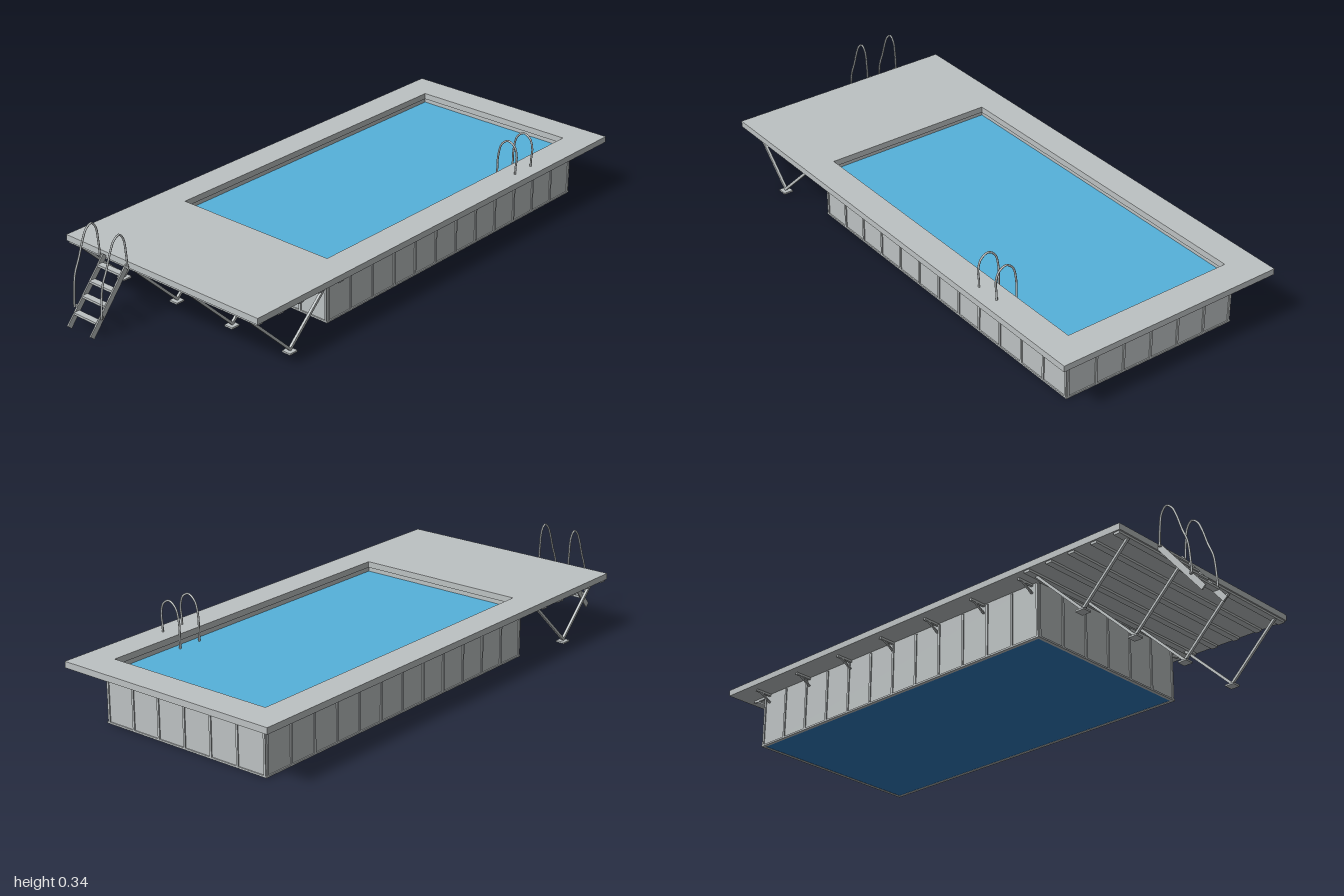
import * as THREE from 'three';

export function createModel() {
  const model = new THREE.Group();
  model.name = 'raisedPool';
  const grey = new THREE.MeshStandardMaterial({ color: 0xbdc2c3 });
  grey.name = 'steelGrey';
  const blue = new THREE.MeshStandardMaterial({ color: 0x56b2db });
  blue.name = 'waterBlue';
  const deepBlue = new THREE.MeshStandardMaterial({ color: 0x307abe });
  deepBlue.name = 'floorBlue';

  const add = (name, geometry, material = grey, parent = model) => {
    const mesh = new THREE.Mesh(geometry, material);
    mesh.name = name;
    parent.add(mesh);
    return mesh;
  };
  const box = (name, w, h, d, x, y, z, material = grey, parent = model) => {
    const mesh = add(name, new THREE.BoxGeometry(w, h, d), material, parent);
    mesh.position.set(x, y, z);
    return mesh;
  };
  // Square bar between two points, w across and t deep
  const bar = (name, a, b, w, t = w, parent = model) => {
    const p = new THREE.Vector3(...a), q = new THREE.Vector3(...b);
    const mesh = add(name, new THREE.BoxGeometry(w, t, p.distanceTo(q)), grey, parent);
    mesh.position.copy(p).lerp(q, 0.5);
    mesh.lookAt(q);
    return mesh;
  };
  const tube = (name, points, radius, parent = model) => {
    const curve = new THREE.CatmullRomCurve3(points.map(p => new THREE.Vector3(...p)));
    return add(name, new THREE.TubeGeometry(curve, 40, radius, 8), grey, parent);
  };
  const rectangle = (path, x0, y0, x1, y1) => {
    path.moveTo(x0, y0); path.lineTo(x1, y0); path.lineTo(x1, y1); path.lineTo(x0, y1);
    path.closePath();
    return path;
  };

  // Deck with the pool opening
  const shape = rectangle(new THREE.Shape(), -0.428, -0.825, 0.428, 1);
  shape.holes.push(rectangle(new THREE.Path(), -0.32, -0.392, 0.32, 0.887));
  const deck = new THREE.ExtrudeGeometry(shape, { depth: 0.022, bevelEnabled: false });
  deck.rotateX(-Math.PI / 2).translate(0, 0.195, 0);
  add('deck', deck);

  // Basin walls, water and floor
  const X = 0.337, Z0 = -0.907, Z1 = 0.412, ZC = (Z0 + Z1) / 2, L = Z1 - Z0, H = 0.195;
  for (const s of [-1, 1]) {
    box('sideWall', 0.008, H, L, s * (X - 0.004), H / 2, ZC);
    box('endWall', X * 2 - 0.016, H, 0.008, 0, H / 2, ZC + s * (L / 2 - 0.004));
    box('sideFlange', 0.008, 0.006, L + 0.008, s * X, 0.003, ZC);
    box('endFlange', X * 2, 0.006, 0.008, 0, 0.003, ZC + s * L / 2);
  }
  box('water', X * 2 - 0.016, 0.17, L - 0.016, 0, 0.091, ZC, blue);
  box('poolFloor', X * 2 - 0.016, 0.005, L - 0.016, 0, 0.0035, ZC, deepBlue);

  // Wall ribs
  for (const s of [-1, 1]) {
    for (let i = 0; i <= 12; i++)
      box('sideRib', 0.006, 0.19, 0.008, s * (X + 0.001), 0.095, Z0 + 0.004 + i * (L - 0.008) / 12);
    for (let i = 0; i <= 6; i++)
      box('endRib', 0.008, 0.19, 0.006, -X + 0.004 + i * (2 * X - 0.008) / 6, 0.095, ZC + s * (L / 2 + 0.001));
  }

  // Diagonal brackets under the deck overhang
  for (let i = 0; i < 7; i++) {
    const z = 0.385 - i * 0.211;
    for (const s of [-1, 1]) {
      bar('sideBracket', [s * X, 0.163, z], [s * 0.385, 0.191, z], 0.007, 0.005);
      bar('sideBracketArm', [s * X, 0.191, z], [s * 0.4, 0.191, z], 0.008);
    }
  }
  for (const x of [-0.333, -0.111, 0.111, 0.333]) {
    bar('backBracket', [x, 0.163, Z0], [x, 0.191, -0.957], 0.007, 0.005);
    bar('backBracketArm', [x, 0.191, Z0], [x, 0.191, -0.97], 0.008);
  }

  // Joists below the front platform
  for (const z of [0.44, 0.532, 0.624, 0.716, 0.808])
    box('joist', 0.844, 0.008, 0.024, 0, 0.191, z);

  // V-shaped platform supports
  for (let i = 0; i < 4; i++) {
    const x = -0.376 + i * 0.2507;
    const leg = new THREE.Group();
    leg.name = 'platformLeg';
    model.add(leg);
    box('foot', 0.034, 0.006, 0.034, x, 0.003, 0.63, grey, leg);
    bar('frontStrut', [x, 0.007, 0.627], [x, 0.19, 0.815], 0.009, 0.009, leg);
    bar('backStrut', [x, 0.007, 0.633], [x, 0.19, 0.44], 0.009, 0.009, leg);
  }

  // Entry ladder
  const ladder = new THREE.Group();
  ladder.name = 'entryLadder';
  model.add(ladder);
  const cx = -0.189;
  for (const s of [-1, 1]) {
    const x = cx + s * 0.053, hx = cx + s * 0.064;
    bar('stringer', [x, 0.01, 0.992], [x, 0.207, 0.828], 0.005, 0.02, ladder);
    tube('ladderHandrail', [
      [hx, 0.066, 0.957], [hx, 0.12, 0.954], [hx, 0.18, 0.946], [hx, 0.23, 0.926], [hx, 0.285, 0.907],
      [hx, 0.318, 0.89], [hx, 0.331, 0.868], [hx, 0.31, 0.85], [hx, 0.26, 0.842], [hx, 0.2, 0.838],
    ], 0.0035, ladder);
    for (const [y, z] of [[0.07, 0.951], [0.205, 0.836]])
      box('handrailClip', 0.014, 0.006, 0.008, cx + s * 0.058, y, z, grey, ladder);
  }
  for (const y of [0.052, 0.097, 0.137, 0.181])
    box('tread', 0.102, 0.008, 0.023, cx, y, 1 - (y - 0.01) * 0.85 - 0.004, grey, ladder);

  // Pool grab rails
  for (const z of [-0.61, -0.52])
    tube('grabRail', [
      [0.302, 0.165, z], [0.302, 0.215, z], [0.304, 0.265, z], [0.317, 0.312, z], [0.345, 0.332, z],
      [0.372, 0.318, z], [0.383, 0.285, z], [0.38, 0.24, z], [0.379, 0.205, z],
    ], 0.0035);

  return model;
}
